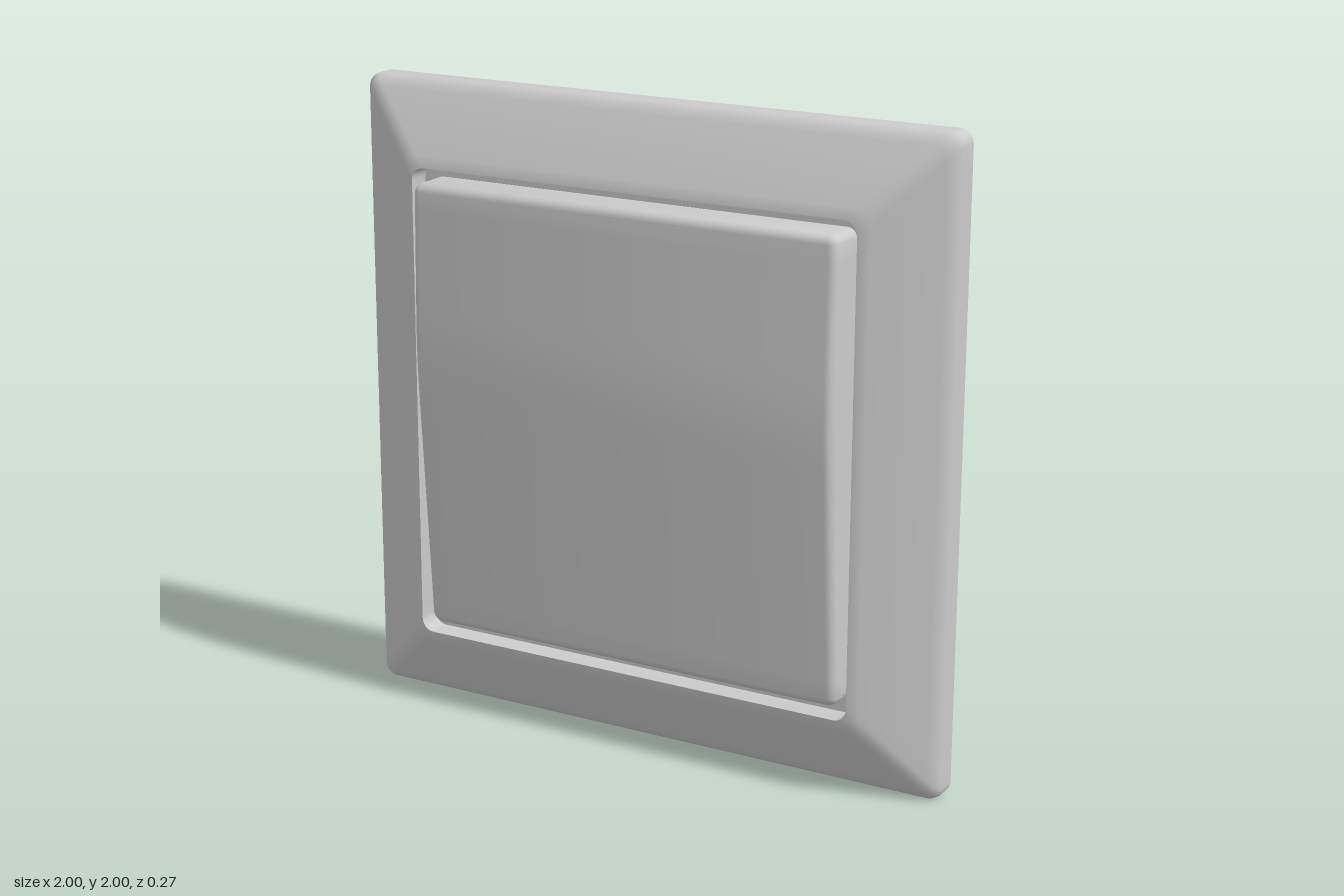
import * as THREE from 'three';
import { toCreasedNormals } from 'three/addons/utils/BufferGeometryUtils.js';

const CORNER = 6, SIDE = 28;

// Rounded square outline: right half from top to bottom, then its mirror.
function ring(half, radius, zAt) {
  const right = [];
  const c = half - radius;
  const arc = (cy, a0) => {
    for (let i = 0; i <= CORNER; i++) {
      const a = a0 - (Math.PI / 2) * (i / CORNER);
      right.push([c + radius * Math.cos(a), cy + radius * Math.sin(a)]);
    }
  };
  arc(c, Math.PI / 2);
  for (let i = 1; i < SIDE; i++) right.push([half, c - (2 * c * i) / SIDE]);
  arc(-c, 0);
  const left = right.map(([x, y]) => [-x, y]).reverse();
  return [...right, ...left].map(([x, y]) => [x, y + 1, zAt(y + 1)]);
}

// Skin the outlines from back to front and close both ends.
function loft(rings) {
  const n = rings[0].length, index = [];
  for (let j = 0; j < rings.length - 1; j++) {
    for (let i = 0; i < n; i++) {
      const k = (i + 1) % n;
      const a = j * n + i, b = j * n + k, c = a + n, d = b + n;
      index.push(a, c, b, b, c, d);
    }
  }
  const last = (rings.length - 1) * n;
  for (let i = 0; i < n / 2 - 1; i++) {
    const r0 = i, r1 = i + 1, l0 = n - 1 - i, l1 = n - 2 - i;
    index.push(r0, r1, l0, r1, l1, l0);
    index.push(last + r0, last + l0, last + r1, last + r1, last + l0, last + l1);
  }
  const geo = new THREE.BufferGeometry();
  geo.setAttribute('position', new THREE.Float32BufferAttribute(rings.flat(2), 3));
  geo.setIndex(index);
  return toCreasedNormals(geo, 0.6);
}

// Front surface of the rocker: two flat slopes joined by a gentle curve.
function faceZ(y) {
  const hi = 1.3, lo = 1.05, sTop = -0.02, sLow = 0.071, zHi = 0.136;
  if (y > hi) return zHi + sTop * (y - hi);
  const t = Math.min(hi - y, hi - lo);
  const z = zHi - sTop * t - ((sLow - sTop) * t * t) / (2 * (hi - lo));
  return y < lo ? z - sLow * (lo - y) : z;
}

export function createModel() {
  const group = new THREE.Group();
  const material = new THREE.MeshStandardMaterial({ color: 0xcccccc });
  const add = (name, geometry) => {
    const mesh = new THREE.Mesh(geometry, material);
    mesh.name = name;
    group.add(mesh);
  };

  // Bevelled surround with a shallow recess: [half width, z, corner radius]
  const frameProfile = [
    [1, -0.135, 0.04], [1, -0.085, 0.04], [0.997, -0.066, 0.04],
    [0.985, -0.049, 0.04], [0.965, -0.035, 0.04],
    [0.785, 0.062, 0.045], [0.768, 0.07, 0.045], [0.75, 0.073, 0.04],
    [0.75, 0, 0.04],
  ];
  add('frame', loft(frameProfile.map(([h, z, r]) => ring(h, r, () => z))));

  // Tilted rocker with a rounded front edge
  const base = ring(0.715, 0.03, () => -0.005);
  const edge = [];
  const fillet = 0.028;
  for (let i = 0; i <= 5; i++) {
    const a = (Math.PI / 2) * (i / 5);
    const inset = fillet * (1 - Math.cos(a));
    const drop = fillet * (1 - Math.sin(a));
    edge.push(ring(0.715 - inset, 0.034 - inset, (y) => faceZ(y) - drop));
  }
  add('rocker', loft([base, ...edge]));

  return group;
}
